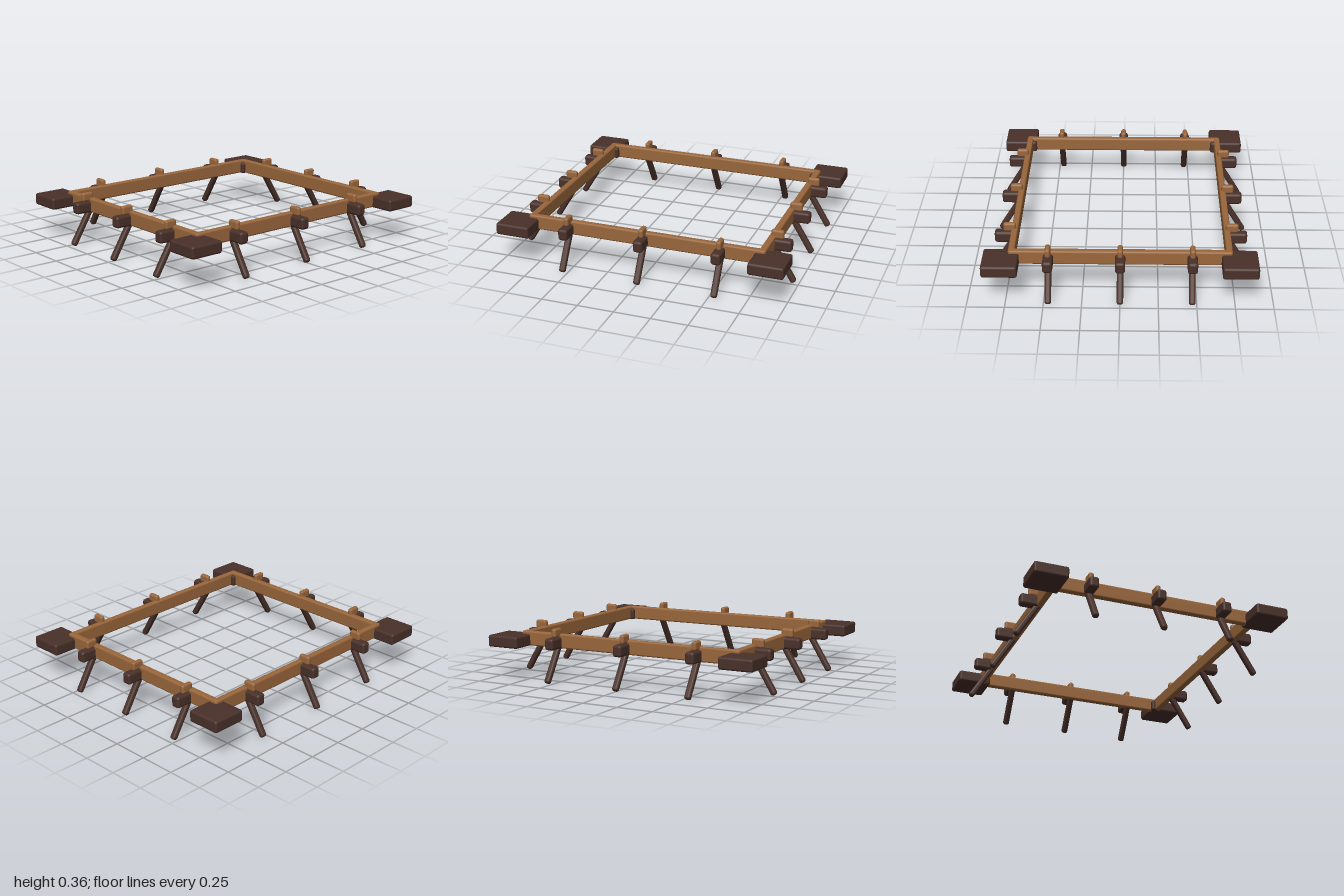
import * as THREE from 'three';
import { RoundedBoxGeometry } from 'three/addons/geometries/RoundedBoxGeometry.js';

const wood = new THREE.MeshStandardMaterial({ color: 0x9a673c });
wood.name = 'wood';
const darkWood = new THREE.MeshStandardMaterial({ color: 0x4a312a });
darkWood.name = 'dark wood';

// Box with softened edges, centred on the given point
function softBox(name, material, size, position, bevel) {
  const mesh = new THREE.Mesh(new RoundedBoxGeometry(...size, 2, bevel), material);
  mesh.name = name;
  mesh.position.set(...position);
  return mesh;
}

// Bracket with its origin on the rail's centre line and +z pointing outward
function createSupport() {
  const support = new THREE.Group();
  support.name = 'support';
  support.add(softBox('bracketBlock', darkWood, [0.066, 0.08, 0.135], [0, 0.265, 0.0675], 0.018));
  support.add(softBox('topPeg', wood, [0.036, 0.062, 0.086], [0, 0.334, 0.033], 0.015));

  // Splayed leg
  const top = new THREE.Vector3(0, 0.25, 0.005);
  const foot = new THREE.Vector3(0, 0.005, 0.155);
  const along = foot.clone().sub(top);
  const centre = top.clone().add(foot).multiplyScalar(0.5);
  const leg = softBox('leg', darkWood, [0.043, along.length(), 0.04], centre.toArray(), 0.015);
  leg.rotation.x = Math.atan2(-along.z, -along.y) + Math.PI;
  leg.rotation.x = -Math.atan2(along.z, -along.y);
  support.add(leg);
  return support;
}

export function createModel() {
  const model = new THREE.Group();
  model.name = 'squareFrame';
  const railX = 0.81, railZ = 0.71;

  for (const s of [-1, 1]) {
    // Rails
    model.add(softBox('crossRail', wood, [1.65, 0.1, 0.044], [0, 0.275, s * railZ], 0.012));
    model.add(softBox('sideRail', wood, [0.046, 0.1, 1.46], [s * railX, 0.275, 0], 0.012));

    // Corner pads
    for (const t of [-1, 1]) {
      model.add(softBox('cornerPad', darkWood, [0.238, 0.082, 0.235], [s * 0.881, 0.264, t * 0.7775], 0.015));
    }

    // Three supports along each rail
    for (const i of [-1, 0, 1]) {
      const across = createSupport();
      across.position.set(i * 0.535, 0, s * railZ);
      across.rotation.y = s > 0 ? 0 : Math.PI;
      const side = createSupport();
      side.position.set(s * railX, 0, i * 0.47);
      side.rotation.y = s * Math.PI / 2;
      model.add(across, side);
    }
  }
  return model;
}
